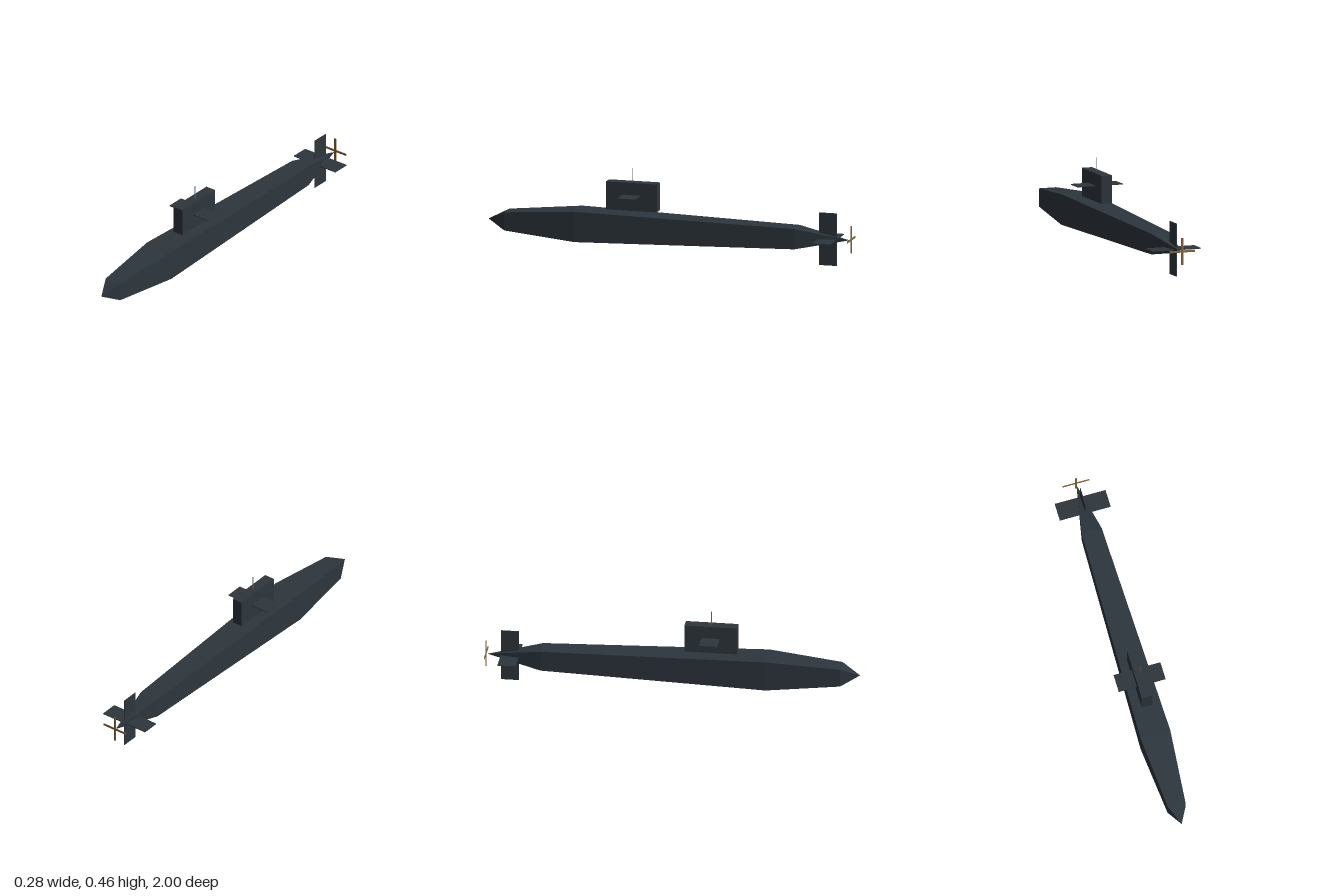
import * as THREE from 'three';

export function createModel() {
  const model = new THREE.Group();
  const material = (name, color) => {
    const m = new THREE.MeshStandardMaterial({ color, flatShading: true });
    m.name = name;
    return m;
  };
  const slate = material('dark slate', 0x2d363d);
  const grey = material('mast grey', 0x6a747c);
  const bronze = material('bronze', 0x8a6a3c);

  const add = (name, geometry, mat, x, y, z) => {
    const mesh = new THREE.Mesh(geometry, mat);
    mesh.name = name;
    mesh.position.set(x, y, z);
    model.add(mesh);
    return mesh;
  };
  const box = (name, mat, w, h, d, x, y, z) =>
    add(name, new THREE.BoxGeometry(w, h, d), mat, x, y, z);

  const axisY = 0.143;

  // Square-section hull: [half width, z] from stern tip to nose
  const profile = [[0, -0.99], [0.055, -0.7], [0.082, 0.505], [0.049, 0.9], [0, 1]]
    .map(([half, z]) => new THREE.Vector2(half * Math.SQRT2, z));
  const hull = new THREE.LatheGeometry(profile, 4, Math.PI / 4);
  hull.rotateX(Math.PI / 2);
  add('hull', hull, slate, 0, axisY, 0);

  // Sail with its diving planes and mast
  box('sail', slate, 0.058, 0.151, 0.28, 0, 0.3125, 0.205);
  box('sailPlanes', slate, 0.258, 0.004, 0.098, 0, 0.32, 0.205);
  add('mast', new THREE.CylinderGeometry(0.0025, 0.0025, 0.077, 8), grey, 0.003, 0.425, 0.205);

  // Cross-shaped tail fins
  box('sternPlanes', slate, 0.28, 0.004, 0.097, 0, axisY, -0.87);
  box('rudder', slate, 0.004, 0.284, 0.097, 0, 0.142, -0.87);

  // Propeller: two crossed bars
  for (let i = 0; i < 2; i++) {
    const blade = box('propellerBlade' + (i + 1), bronze, 0.146, 0.011, 0.004, 0, 0.147, -0.998);
    blade.rotation.z = i * Math.PI / 2;
  }
  return model;
}
